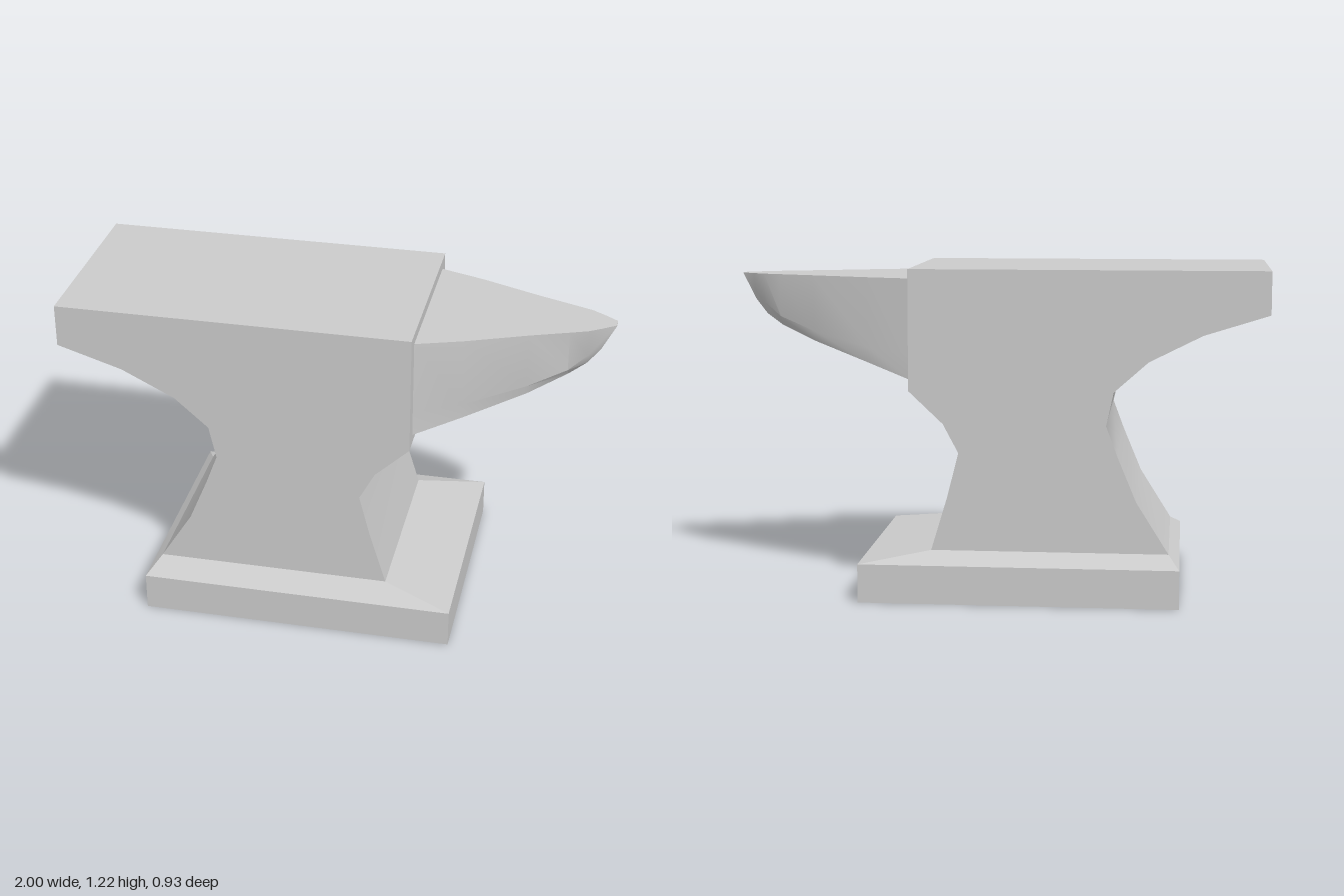
import * as THREE from 'three';
import { toCreasedNormals } from 'three/addons/utils/BufferGeometryUtils.js';

const material = new THREE.MeshStandardMaterial({ color: 0xcccccc });

// Skins rings of equal point count; optionally closes the first ring, always the last.
function loft(rings, capStart, crease) {
  const n = rings[0].length;
  const index = [];
  for (let i = 0; i < rings.length - 1; i++) {
    for (let j = 0; j < n; j++) {
      const a = i * n + j, b = i * n + (j + 1) % n;
      index.push(a, b, b + n, a, b + n, a + n);
    }
  }
  const last = (rings.length - 1) * n;
  for (let j = 1; j < n - 1; j++) {
    if (capStart) index.push(0, j + 1, j);
    index.push(last, last + j, last + j + 1);
  }
  const g = new THREE.BufferGeometry();
  g.setAttribute('position', new THREE.Float32BufferAttribute(rings.flat(2), 3));
  g.setIndex(index);
  return toCreasedNormals(g, crease);
}

function addPart(group, name, geometry) {
  const mesh = new THREE.Mesh(geometry, material);
  mesh.name = name;
  group.add(mesh);
}

export function createModel() {
  const group = new THREE.Group();
  group.name = 'anvil';

  // Foot: slab with a chamfered top that meets the waist
  const rect = (x0, x1, y, z) => [[x0, y, z], [x1, y, z], [x1, y, -z], [x0, y, -z]];
  addPart(group, 'base', loft([
    rect(-0.685, 0.49, 0, 0.464),
    rect(-0.685, 0.49, 0.143, 0.464),
    rect(-0.645, 0.23, 0.181, 0.363),
  ], true, 0.1));

  // Waist, heel and face as one extruded side profile
  const profile = [
    [-0.645, 0.181], [0.23, 0.181], [0.17, 0.38], [0.128, 0.545], [0.185, 0.652],
    [0.312, 0.772], [0.312, 1.218], [-1, 1.218], [-1, 1.06], [-0.76, 0.985],
    [-0.565, 0.887], [-0.44, 0.776], [-0.413, 0.652], [-0.455, 0.54], [-0.525, 0.372],
  ];
  const shape = new THREE.Shape(profile.map(([x, y]) => new THREE.Vector2(x, y)));
  const body = new THREE.ExtrudeGeometry(shape, { depth: 0.726, bevelEnabled: false });
  body.translate(0, 0, -0.363);
  addPart(group, 'body', toCreasedNormals(body, 0.65));

  // Horn sections: x, top half width, shoulder half width and y, bottom half width and y
  const sections = [
    [0.312, 0.307, 0.307, 0.9, 0.307, 0.806],
    [0.48, 0.25, 0.25, 0.92, 0.245, 0.863],
    [0.7, 0.16, 0.155, 0.97, 0.14, 0.932],
    [0.84, 0.108, 0.095, 1.02, 0.05, 0.982],
    [0.905, 0.083, 0.065, 1.07, 0.03, 1.025],
    [0.95, 0.054, 0.04, 1.12, 0.02, 1.08],
    [1, 0.018, 0.018, 1.179, 0.018, 1.178],
  ];
  const top = 1.18;
  const rings = sections.map(([x, w, s, ys, b, yb]) => [
    [x, top, -w], [x, top, w], [x, ys, s], [x, yb, b], [x, yb, -b], [x, ys, -s],
  ]);
  addPart(group, 'horn', loft(rings, false, 0.6));

  return group;
}
